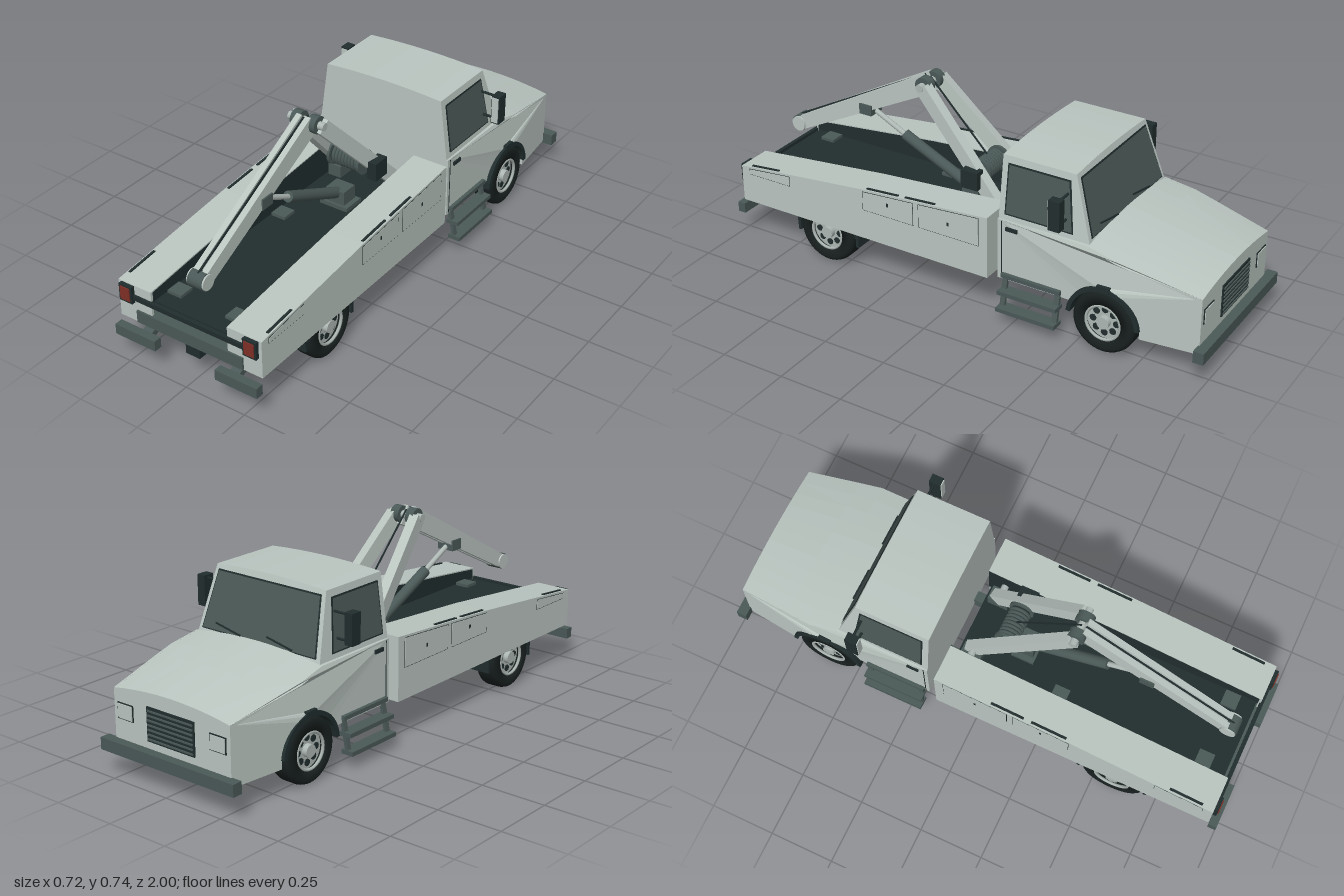
import * as THREE from 'three';

const mat = (name, color, side = THREE.FrontSide) => {
  const m = new THREE.MeshStandardMaterial({ color, side });
  m.name = name;
  return m;
};

export function createModel() {
  const root = new THREE.Group();
  root.name = 'towTruck';
  const body = mat('body paint', 0xbac5c0, THREE.DoubleSide);
  const steel = mat('slate steel', 0x4a5957);
  const dark = mat('charcoal', 0x212d2d, THREE.DoubleSide);
  const tyre = mat('rubber', 0x18201f, THREE.DoubleSide);
  const glass = mat('glass', 0x4a5856, THREE.DoubleSide);
  const red = mat('red lamp', 0x7e2f26);
  const rim = mat('rim metal', 0xaeb8b4);

  const add = (name, geo, m, parent = root) => {
    const mesh = new THREE.Mesh(geo, m);
    mesh.name = name;
    parent.add(mesh);
    return mesh;
  };
  // box from its min/max extents
  const box = (name, m, x0, x1, y0, y1, z0, z1) =>
    add(name, new THREE.BoxGeometry(x1 - x0, y1 - y0, z1 - z0)
      .translate((x0 + x1) / 2, (y0 + y1) / 2, (z0 + z1) / 2), m);
  const pair = (name, m, x0, x1, ...r) => {
    box(name + 'Left', m, x0, x1, ...r);
    box(name + 'Right', m, -x1, -x0, ...r);
  };
  // side profile of [z, y] points, extruded from x0 to x1
  const profile = (pts, x0, x1, steps = 1) => new THREE.ExtrudeGeometry(
    new THREE.Shape(pts.map(([z, y]) => new THREE.Vector2(-z, y))),
    { depth: x1 - x0, bevelEnabled: false, steps }).rotateY(Math.PI / 2).translate(x0, 0, 0);
  const span = (mesh, a, b) => {
    const q = new THREE.Vector3(...b);
    mesh.position.set(...a).lerp(q, 0.5);
    mesh.lookAt(q);
    return mesh;
  };
  const dist = (a, b) => new THREE.Vector3(...a).distanceTo(new THREE.Vector3(...b));
  const beam = (name, m, a, b, w, h) => span(add(name, new THREE.BoxGeometry(w, h, dist(a, b)), m), a, b);
  const rod = (name, m, a, b, r, sides = 16) =>
    span(add(name, new THREE.CylinderGeometry(r, r, dist(a, b), sides).rotateX(Math.PI / 2), m), a, b);
  const quad = (name, m, a, b, c, d) => {
    const g = new THREE.BufferGeometry();
    g.setAttribute('position', new THREE.Float32BufferAttribute([a, b, c, a, c, d].flat(), 3));
    g.computeVertexNormals();
    return add(name, g, m);
  };
  const deform = (g, fn) => {
    const p = g.attributes.position;
    for (let i = 0; i < p.count; i++) p.setXYZ(i, ...fn(p.getX(i), p.getY(i), p.getZ(i)));
    g.computeVertexNormals();
    return g;
  };
  const arc = (cz, cy, r, a0, a1, n) => Array.from({ length: n + 1 }, (_, i) => {
    const a = THREE.MathUtils.degToRad(a0 + (a1 - a0) * i / n);
    return [cz + r * Math.cos(a), cy + r * Math.sin(a)];
  });

  // Hollow lower cab: crowned hood shell and two side panels with wheel arches
  const bulge = (x, y, z) => {
    const w = z > -0.5 ? 0.29 : z > -0.66 ? 0.29 + (-0.5 - z) * 0.08 : 0.303 - (-0.66 - z) * 0.11;
    return [x * w, y + (y > 0.305 && z < -0.5 ? 0.024 * (1 - x * x) : 0), z];
  };
  const ridge = [[-0.18, 0.405], [-0.545, 0.405], [-0.66, 0.383], [-0.75, 0.365], [-0.965, 0.318], [-0.965, 0.1]];
  add('hoodShell', deform(profile([[-0.18, 0.165], ...ridge, [-0.955, 0.1], [-0.955, 0.308], [-0.75, 0.354],
    [-0.66, 0.372], [-0.545, 0.395], [-0.19, 0.395], [-0.19, 0.165]], -1, 1, 10), bulge), body);
  const side = [[-0.18, 0.165], ...ridge, [-0.75, 0.1], ...arc(-0.61, 0.12, 0.14, 188, 19, 14)];
  for (const x of [-1, 0.965]) add('cabSide', deform(profile(side, x, x + 0.035), bulge), body);
  box('cabFloor', dark, -0.262, 0.262, 0.255, 0.265, -0.954, -0.19);

  // Cabin, narrowing to the roof
  const cabW = (y) => 0.284 - (y - 0.4) * 0.135;
  add('cabin', deform(profile([[-0.18, 0.4], [-0.18, 0.642], [-0.47, 0.642], [-0.545, 0.4]], -1, 1, 8),
    (x, y, z) => [x * cabW(y), y + (y > 0.6 ? 0.01 * (1 - x * x) : 0), z]), body);

  // Windscreen with seal and wipers
  const wz = (y) => -0.545 + (y - 0.4) * 0.31;
  const screen = (name, m, y0, y1, inset, off) => quad(name, m,
    [-cabW(y0) + inset, y0, wz(y0) - off], [cabW(y0) - inset, y0, wz(y0) - off],
    [cabW(y1) - inset, y1, wz(y1) - off], [-cabW(y1) + inset, y1, wz(y1) - off]);
  screen('windscreenSeal', dark, 0.42, 0.628, 0.015, 0.003);
  screen('windscreen', glass, 0.425, 0.623, 0.02, 0.006);
  for (const x of [-0.16, 0.08])
    beam('wiper', dark, [x, 0.43, wz(0.43) - 0.009], [x + 0.12, 0.45, wz(0.45) - 0.009], 0.005, 0.005);

  // Parts found on both sides of the cab
  for (const s of [1, -1]) {
    const X = (a, b) => (s > 0 ? [a, b] : [-b, -a]);
    const win = (name, m, e, off) => quad(name, m, ...[[-0.203 - e, 0.425 + e], [-0.478 + e, 0.425 + e],
      [-0.452 + e, 0.617 - e], [-0.203 - e, 0.617 - e]].map(([z, y]) => [s * (cabW(y) + off), y, z]));
    win('windowSeal', dark, 0, 0.002);
    win('sideWindow', glass, 0.006, 0.004);
    box('doorHandle', dark, ...X(0.288, 0.297), 0.368, 0.382, -0.262, -0.215);
    box('doorSeam', dark, ...X(0.288, 0.2915), 0.17, 0.4, -0.197, -0.194);
    box('headlightFrame', dark, ...X(0.178, 0.252), 0.212, 0.272, -0.968, -0.96);
    box('headlight', body, ...X(0.182, 0.248), 0.216, 0.268, -0.971, -0.96);
    // Mirror on two arms
    box('mirrorCase', dark, ...X(0.325, 0.359), 0.465, 0.58, -0.465, -0.42);
    box('mirrorFace', body, ...X(0.329, 0.355), 0.471, 0.574, -0.423, -0.416);
    for (const y of [0.474, 0.568]) rod('mirrorArm', dark, [s * 0.25, y, -0.445], [s * 0.33, y, -0.445], 0.005, 8);
    // Boarding steps
    for (const [y, x] of [[0.185, 0.304], [0.127, 0.33], [0.062, 0.34]])
      box('stepTread', steel, ...X(x - 0.05, x), y - 0.008, y + 0.008, -0.44, -0.2);
    for (const z of [-0.213, -0.427]) beam('stepSide', steel, [s * 0.285, 0.19, z], [s * 0.312, 0.055, z], 0.02, 0.012);
    // Wheel arch liners and rear mudguards
    for (const [z, x0, x1] of [[-0.61, 0.22, 0.306], [0.575, 0.21, 0.294]])
      add('archLiner', profile([...arc(z, 0.12, 0.143, 5, 175, 16), ...arc(z, 0.12, 0.127, 175, 5, 16)], ...X(x0, x1)), dark);
    box('archTop', dark, ...X(0.28, 0.308), 0.25, 0.27, -0.635, -0.585);
    for (const z of [0.437, 0.708]) box('mudFlap', dark, ...X(0.21, 0.294), 0.095, 0.2, z - 0.006, z + 0.006);
  }

  // Grille with slats
  box('grille', dark, -0.11, 0.11, 0.165, 0.29, -0.97, -0.96);
  for (let i = 0; i < 7; i++) box('grilleSlat', steel, -0.105, 0.105, 0.172 + i * 0.017, 0.178 + i * 0.017, -0.974, -0.965);
  box('frontBumper', steel, -0.31, 0.31, 0.092, 0.137, -1, -0.96);

  // Bed: hollow side lockers either side of a dark-lined floor
  const top = [[0.965, 0.305], [0.39, 0.363], [-0.145, 0.402]];
  const topY = (z) => (z > 0.39 ? 0.363 - (z - 0.39) * 0.101 : 0.363 + (0.39 - z) * 0.073);
  for (const s of [1, -1]) {
    const X = (a, b) => (s > 0 ? [a, b] : [-b, -a]);
    add('bedOuterWall', profile([[-0.145, 0.157], [0.965, 0.157], ...top], ...X(0.297, 0.306)), body);
    add('bedInnerLining', profile([[-0.145, 0.25], [0.955, 0.25], ...top.map(([z, y]) => [Math.min(z, 0.955), y - 0.004])],
      ...X(0.161, 0.168)), dark);
    add('bedTop', profile([...top, ...top.map(([z, y]) => [z, y - 0.008]).reverse()], ...X(0.163, 0.306)), body);
    box('bedRearEnd', body, ...X(0.163, 0.306), 0.157, 0.304, 0.955, 0.965);
    box('bedFrontEnd', body, ...X(0.163, 0.306), 0.157, 0.4, -0.145, -0.135);
    // Locker doors with dark seams
    for (const [z0, z1] of [[0.17, 0.395], [-0.11, 0.148], [0.735, 0.928]]) {
      const door = (e) => [[z0 + e, 0.277 + e], [z1 - e, 0.277 + e], [z1 - e, topY(z1) - 0.008 - e], [z0 + e, topY(z0) - 0.008 - e]];
      add('lockerSeam', profile(door(0), ...X(0.3, 0.3065)), dark);
      add('lockerDoor', profile(door(0.002), ...X(0.3, 0.3075)), body);
      if (z1 < 0.5) box('lockerLatch', dark, ...X(0.305, 0.309), 0.322, 0.336, (z0 + z1) / 2 - 0.004, (z0 + z1) / 2 + 0.004);
    }
    // Marker strips along the top edge
    for (const [z0, z1] of [[0.79, 0.92], [0.24, 0.38], [0.08, 0.21]])
      beam('markerStrip', dark, [s * 0.295, topY(z0), z0], [s * 0.295, topY(z1), z1], 0.009, 0.008);
    // Tail lamps and split rear bumper
    box('lampCase', dark, ...X(0.237, 0.293), 0.234, 0.302, 0.96, 0.98);
    box('tailLamp', red, ...X(0.245, 0.286), 0.243, 0.295, 0.975, 0.984);
    box('rearBumper', steel, ...X(0.13, 0.306), 0.094, 0.135, 0.968, 1);
    beam('bumperArm', steel, [s * 0.19, 0.16, 0.87], [s * 0.19, 0.115, 0.975], 0.04, 0.025);
  }
  box('bedFloor', dark, -0.297, 0.297, 0.252, 0.264, -0.135, 0.95);
  box('lampBar', dark, -0.24, 0.24, 0.25, 0.268, 0.96, 0.975);
  box('tailBeam', steel, -0.228, 0.228, 0.16, 0.208, 0.925, 0.972);
  box('towHitch', dark, -0.03, 0.03, 0.105, 0.16, 0.9, 0.955);

  // Chassis
  pair('frameRail', steel, 0.1, 0.15, 0.158, 0.252, -0.13, 0.93);
  pair('frontRail', steel, 0.1, 0.14, 0.158, 0.21, -0.95, -0.13);
  for (const z of [-0.85, -0.3, 0.1, 0.78])
    box('crossMember', steel, -0.27, 0.27, 0.165, 0.2, z - 0.018, z + 0.018);

  // Wheels
  const tyreGeo = new THREE.LatheGeometry([[0.07, -0.04], [0.105, -0.043], [0.117, -0.036], [0.121, -0.024],
    [0.121, 0.024], [0.117, 0.036], [0.105, 0.043], [0.07, 0.04], [0.07, -0.04]]
    .map(([r, y]) => new THREE.Vector2(r, y)), 40).rotateZ(-Math.PI / 2);
  for (const z of [-0.61, 0.575]) {
    rod('axle', steel, [-0.24, 0.121, z], [0.24, 0.121, z], 0.018);
    for (const s of [1, -1]) {
      const w = new THREE.Group();
      w.name = 'wheel';
      w.position.set(s * 0.258, 0.121, z);
      w.rotation.y = s > 0 ? 0 : Math.PI;
      root.add(w);
      add('tyre', tyreGeo, tyre, w);
      const disc = (name, m, r, x0, x1, n = 28) => add(name,
        new THREE.CylinderGeometry(r, r, x1 - x0, n).rotateZ(Math.PI / 2).translate((x0 + x1) / 2, 0, 0), m, w);
      disc('brakeDrum', dark, 0.071, -0.036, 0.01);
      disc('rimDisc', rim, 0.071, 0.01, 0.022);
      add('rimLip', new THREE.TorusGeometry(0.067, 0.006, 6, 28).rotateY(Math.PI / 2).translate(0.037, 0, 0), rim, w);
      disc('hub', rim, 0.024, 0.02, 0.042, 16);
      for (let i = 0; i < 8; i++) {
        const a = i * Math.PI / 4;
        disc('rimHole', dark, 0.013, 0.021, 0.025, 10).position.set(0, 0.046 * Math.cos(a), 0.046 * Math.sin(a));
      }
    }
  }

  // Floor pads and crane foot brackets
  for (const z of [0.28, 0.86]) pair('floorPad', steel, 0.095, 0.155, 0.26, 0.276, z - 0.03, z + 0.03);
  pair('legFoot', steel, 0.095, 0.15, 0.25, 0.312, -0.12, -0.04);
  box('ramBase', steel, -0.06, 0.06, 0.207, 0.28, 0.05, 0.14);
  box('ramFoot', steel, -0.04, 0.04, 0.28, 0.335, 0.06, 0.13);

  // A-frame legs and hinge
  for (const s of [1, -1]) {
    beam('craneLeg', body, [s * 0.112, 0.315, -0.09], [s * 0.052, 0.7, 0.285], 0.038, 0.056);
    rod('legPin', rim, [s * 0.1, 0.33, -0.075], [s * 0.158, 0.33, -0.075], 0.014);
    rod('hingeCheek', steel, [s * 0.017, 0.703, 0.29], [s * 0.052, 0.703, 0.29], 0.033, 20);
  }
  rod('hingePin', rim, [-0.076, 0.703, 0.29], [0.076, 0.703, 0.29], 0.015);

  // Straight tapering boom: two side plates over a recessed core
  const boom = [[0.27, 0.67], [0.885, 0.362], [0.918, 0.405], [0.31, 0.735]];
  for (const [a, b] of [[-0.03, -0.008], [0.008, 0.03]]) add('boomPlate', profile(boom, a, b), body);
  add('boomCore', profile([[0.29, 0.67], [0.86, 0.384], [0.88, 0.415], [0.31, 0.724]], -0.009, 0.009), rim);
  rod('tipPulley', steel, [-0.03, 0.388, 0.897], [0.03, 0.388, 0.897], 0.032, 20);
  for (const s of [1, -1]) rod('tipCheek', body, [s * 0.029, 0.388, 0.895], [s * 0.036, 0.388, 0.895], 0.03, 20);
  box('boomClamp', steel, -0.036, 0.036, 0.51, 0.552, 0.54, 0.595);
  beam('boomCable', dark, [0, 0.728, 0.31], [0, 0.415, 0.905], 0.005, 0.008);
  beam('winchCable', dark, [0, 0.725, 0.29], [0, 0.47, 0.045], 0.005, 0.005);

  // Lifting ram
  rod('ramRod', rim, [0, 0.53, 0.56], [0, 0.44, 0.38], 0.01);
  rod('ramCylinder', steel, [0, 0.455, 0.41], [0, 0.305, 0.09], 0.021);

  // Winch drum, flanges, and motor
  rod('winchDrum', dark, [-0.06, 0.43, 0.035], [0.06, 0.43, 0.035], 0.036, 20);
  for (let i = 0; i < 8; i++)
    add('cableWrap', new THREE.TorusGeometry(0.036, 0.007, 6, 20).rotateY(Math.PI / 2)
      .translate(-0.049 + i * 0.014, 0.43, 0.035), steel);
  for (const s of [1, -1]) rod('winchFlange', steel, [s * 0.06, 0.43, 0.035], [s * 0.07, 0.43, 0.035], 0.048, 24);
  rod('winchShaft', steel, [-0.1, 0.43, 0.035], [0.11, 0.43, 0.035], 0.014);
  box('winchMotor', dark, 0.1, 0.141, 0.39, 0.462, 0.0, 0.07);
  return root;
}
